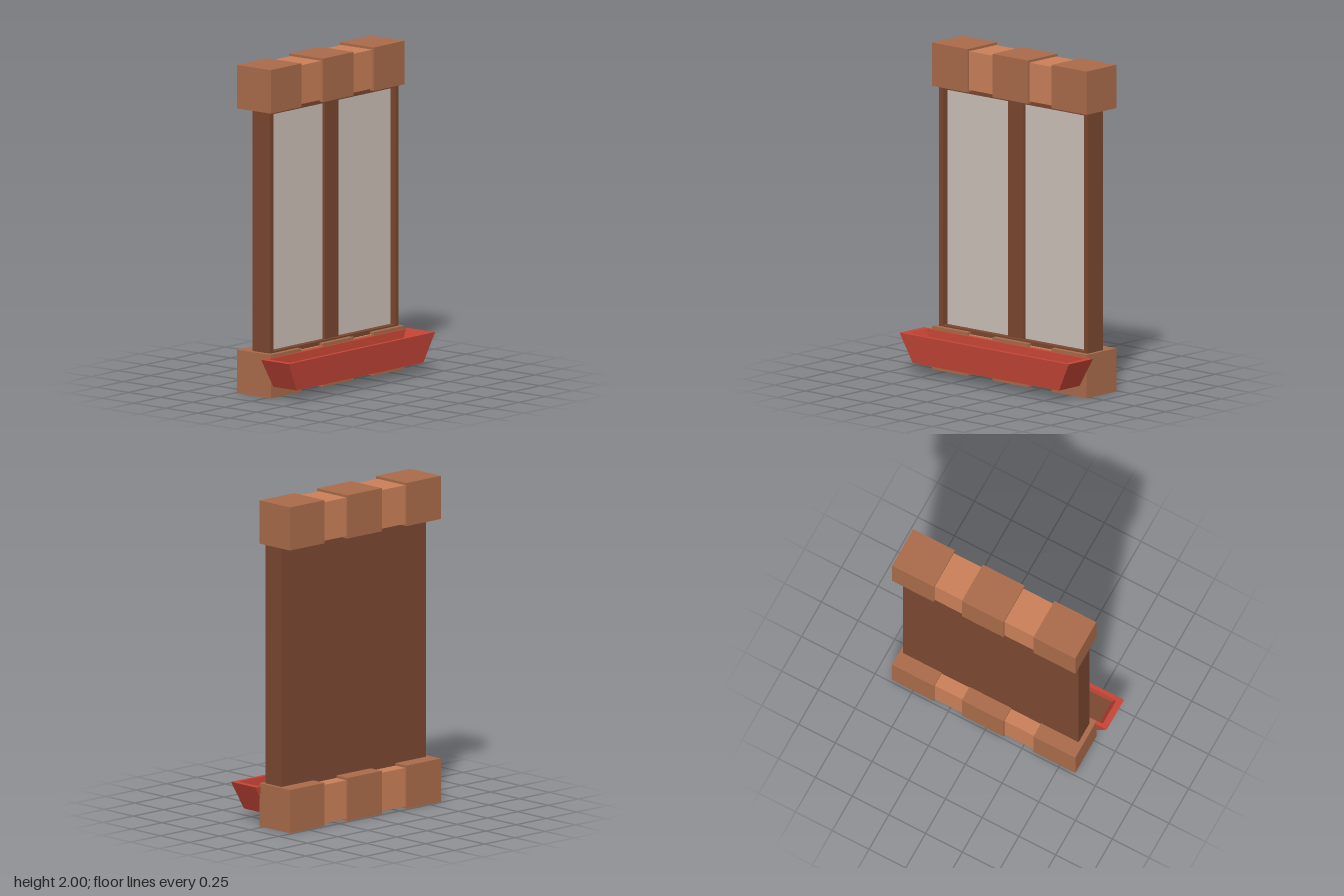
import * as THREE from 'three';

const mat = (color) => new THREE.MeshStandardMaterial({ color, flatShading: true });
const frameMat = mat(0x7a4730);
const darkBrick = mat(0xa96b4a);
const lightBrick = mat(0xca7f58);
const glassMat = mat(0xcac0b7);
const redMat = mat(0xc54536);

// Box given by its min and max on each axis
function box(name, material, [x0, x1], [y0, y1], [z0, z1]) {
  const mesh = new THREE.Mesh(new THREE.BoxGeometry(x1 - x0, y1 - y0, z1 - z0), material);
  mesh.position.set((x0 + x1) / 2, (y0 + y1) / 2, (z0 + z1) / 2);
  mesh.name = name;
  return mesh;
}

function rectPath(path, x0, x1, y0, y1) {
  path.moveTo(x0, y0);
  path.lineTo(x1, y0);
  path.lineTo(x1, y1);
  path.lineTo(x0, y1);
  path.closePath();
  return path;
}

// Skin over stacked rectangular rings [halfWidth, y, zBack, zFront], closed at the first and last
function ringLoft(rings) {
  const corners = rings.map(([w, y, b, f]) => [[-w, y, f], [w, y, f], [w, y, b], [-w, y, b]]);
  const pos = [];
  const quad = (a, b, c, d) => pos.push(...a, ...b, ...c, ...a, ...c, ...d);
  for (let r = 0; r < corners.length - 1; r++) {
    for (let i = 0; i < 4; i++) {
      const j = (i + 1) % 4;
      quad(corners[r][i], corners[r][j], corners[r + 1][j], corners[r + 1][i]);
    }
  }
  const first = corners[0];
  quad(first[3], first[2], first[1], first[0]);
  const geo = new THREE.BufferGeometry();
  geo.setAttribute('position', new THREE.Float32BufferAttribute(pos, 3));
  geo.computeVertexNormals();
  return geo;
}

// Row of five blocks, the big dark ones alternating with smaller light ones
function brickRow(name, y) {
  const row = new THREE.Group();
  row.name = name;
  const edges = [-0.605, -0.32, -0.117, 0.167, 0.357, 0.642];
  for (let i = 0; i < 5; i++) {
    const span = [edges[i], edges[i + 1]];
    row.add(i % 2 === 0
      ? box('largeBrick', darkBrick, span, [y, y + 0.265], [-0.235, 0.03])
      : box('smallBrick', lightBrick, span, [y + 0.013, y + 0.25], [-0.225, 0.016]));
  }
  return row;
}

export function createModel() {
  const model = new THREE.Group();
  model.name = 'window';

  // Brick lintel and sill
  model.add(brickRow('sillBricks', 0), brickRow('lintelBricks', 1.735));

  // Wooden frame with a solid back
  const shape = rectPath(new THREE.Shape(), -0.575, 0.62, 0.2, 1.8);
  shape.holes.push(rectPath(new THREE.Path(), -0.545, 0.592, 0.275, 1.72));
  const frame = new THREE.Mesh(
    new THREE.ExtrudeGeometry(shape, { depth: 0.045, bevelEnabled: false }), frameMat);
  frame.position.z = -0.045;
  frame.name = 'frame';
  model.add(frame);
  model.add(box('backPanel', frameMat, [-0.575, 0.62], [0.2, 1.8], [-0.138, -0.045]));
  model.add(box('mullion', frameMat, [-0.04, 0.086], [0.27, 1.725], [-0.06, -0.02]));

  // Glass panes either side of the mullion
  for (const span of [[-0.546, -0.039], [0.085, 0.593]]) {
    model.add(box('pane', glassMat, span, [0.274, 1.721], [-0.06, -0.04]));
  }

  // Flared flower box: outside, rim, then the inner walls
  const planter = new THREE.Group();
  planter.name = 'flowerBox';
  const shell = new THREE.Mesh(ringLoft([
    [0.59, 0.07, 0.037, 0.22],
    [0.682, 0.245, 0.019, 0.235],
    [0.643, 0.245, 0.041, 0.211],
    [0.613, 0.19, 0.045, 0.206],
  ]), redMat);
  shell.name = 'planterShell';
  planter.add(shell, box('soil', frameMat, [-0.613, 0.613], [0.18, 0.19], [0.045, 0.206]));
  model.add(planter);

  return model;
}
